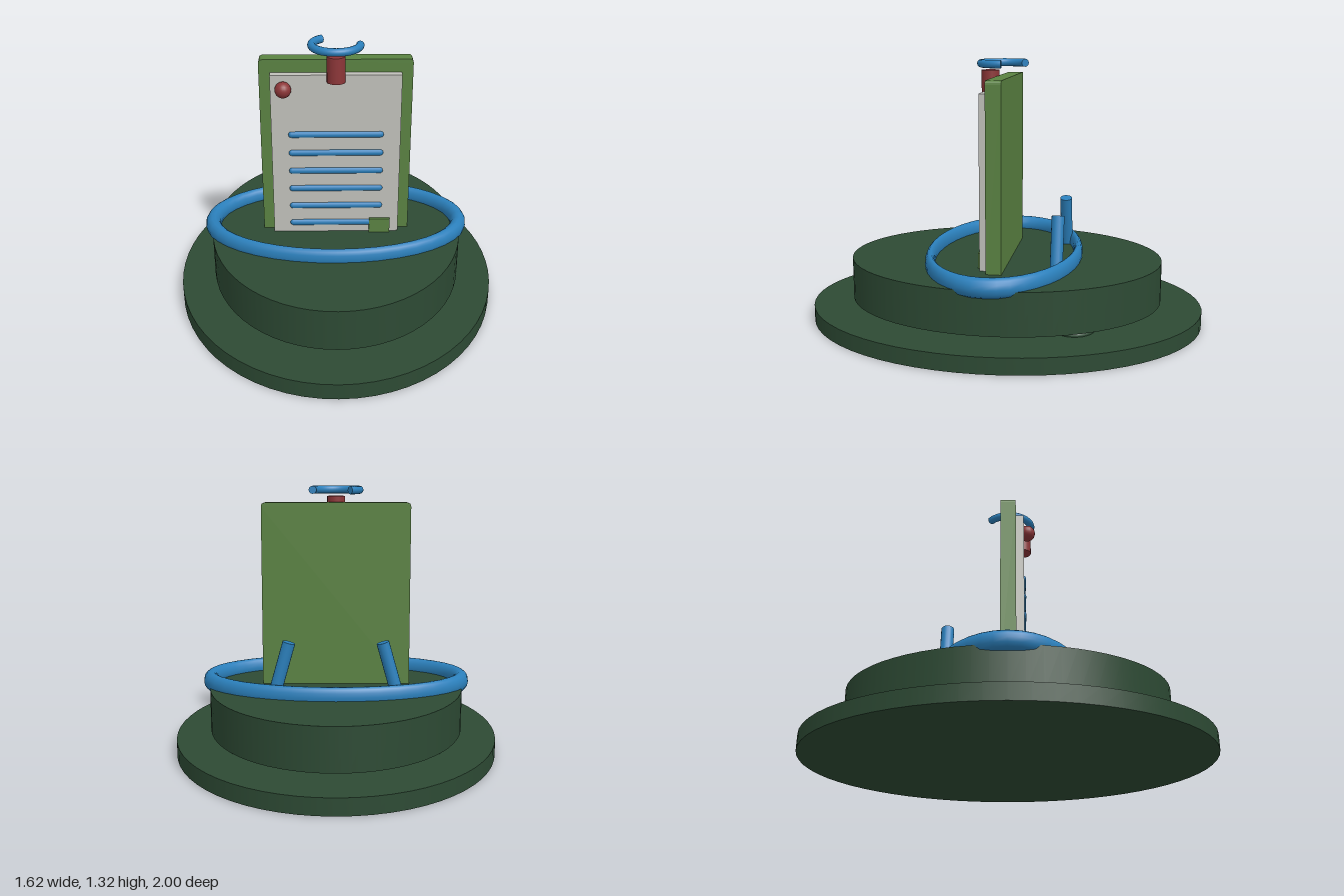
import * as THREE from 'three';

const mat = (name, color) => {
  const m = new THREE.MeshStandardMaterial({ color });
  m.name = name;
  return m;
};

export function createModel() {
  const darkGreen = mat('dark green', 0x2d4a34);
  const green = mat('leaf green', 0x5a8242);
  const blue = mat('blue', 0x2b80bc);
  const paper = mat('paper grey', 0xc0c0ba);
  const red = mat('red', 0x8c3638);

  const model = new THREE.Group();
  const add = (name, geometry, material, x = 0, y = 0, z = 0) => {
    const mesh = new THREE.Mesh(geometry, material);
    mesh.name = name;
    mesh.position.set(x, y, z);
    model.add(mesh);
    return mesh;
  };

  // Oval discs, given by half widths and bottom and top heights
  const disc = (name, rx, rz, y0, y1, x = 0, z = 0) =>
    add(name, new THREE.CylinderGeometry(1, 1, y1 - y0, 64).scale(rx, 1, rz), darkGreen, x, (y0 + y1) / 2, z);
  disc('base', 0.81, 1, 0, 0.08);
  disc('plinth', 0.64, 0.795, 0.11, 0.32);

  // Oval ring lying on the plinth
  add('ring', new THREE.TorusGeometry(0.64, 0.04, 14, 40).rotateX(Math.PI / 2).scale(1, 1.2, 0.58), blue, 0, 0.337, 0);

  // Feet and leaning rods, mirrored
  for (const side of [-1, 1]) {
    const foot = new THREE.SphereGeometry(1, 24, 14).scale(0.122, 0.04, 0.105);
    add('foot', foot, darkGreen, side * 0.388, 0.085, -0.385);
    const low = new THREE.Vector3(side * 0.37, 0.07, -0.29);
    const high = new THREE.Vector3(side * 0.225, 0.585, -0.29);
    const dir = high.clone().sub(low);
    const rod = add('rod', new THREE.CylinderGeometry(0.031, 0.031, dir.length(), 16), blue);
    rod.position.copy(low).add(high).multiplyScalar(0.5);
    rod.quaternion.setFromUnitVectors(new THREE.Vector3(0, 1, 0), dir.normalize());
  }

  // Board with softened upper corners
  const w = 0.373, y0 = 0.3, y1 = 1.24, r = 0.02;
  const outline = new THREE.Shape();
  outline.moveTo(-w, y0);
  outline.lineTo(w, y0);
  outline.lineTo(w, y1 - r);
  outline.quadraticCurveTo(w, y1, w - r, y1);
  outline.lineTo(-w + r, y1);
  outline.quadraticCurveTo(-w, y1, -w, y1 - r);
  add('board', new THREE.ExtrudeGeometry(outline, { depth: 0.076, bevelEnabled: false, curveSegments: 4 }), green, 0, 0, -0.036);

  // Sheet with ruled bars
  add('sheet', new THREE.BoxGeometry(0.636, 0.865, 0.04), paper, 0, 0.7425, 0.06);
  for (let i = 0; i < 6; i++) {
    add('ruledBar', new THREE.CapsuleGeometry(0.016, 0.438, 3, 12).rotateZ(Math.PI / 2).scale(1, 1, 0.7), blue, 0, 0.866 - i * 0.0985, 0.08);
  }
  add('cornerTab', new THREE.BoxGeometry(0.106, 0.08, 0.02), green, 0.222, 0.357, 0.085);

  // Clip, pin and open hoop at the top
  add('clip', new THREE.CylinderGeometry(0.045, 0.045, 0.13, 20), red, 0, 1.205, 0.077);
  add('pin', new THREE.SphereGeometry(0.04, 20, 14), red, -0.255, 1.107, 0.097);
  const hoopR = 0.117, tube = 0.02, arc = Math.PI * 1.3;
  add('hoop', new THREE.TorusGeometry(hoopR, tube, 12, 32, arc).rotateX(Math.PI / 2), blue, 0, 1.302, 0.006);
  for (const [a, turn] of [[0, Math.PI], [arc, 0]]) {
    const cap = add('hoopEnd', new THREE.CircleGeometry(tube, 12), blue, Math.cos(a) * hoopR, 1.302, 0.006 + Math.sin(a) * hoopR);
    cap.rotation.y = -a + turn;
  }
  return model;
}
